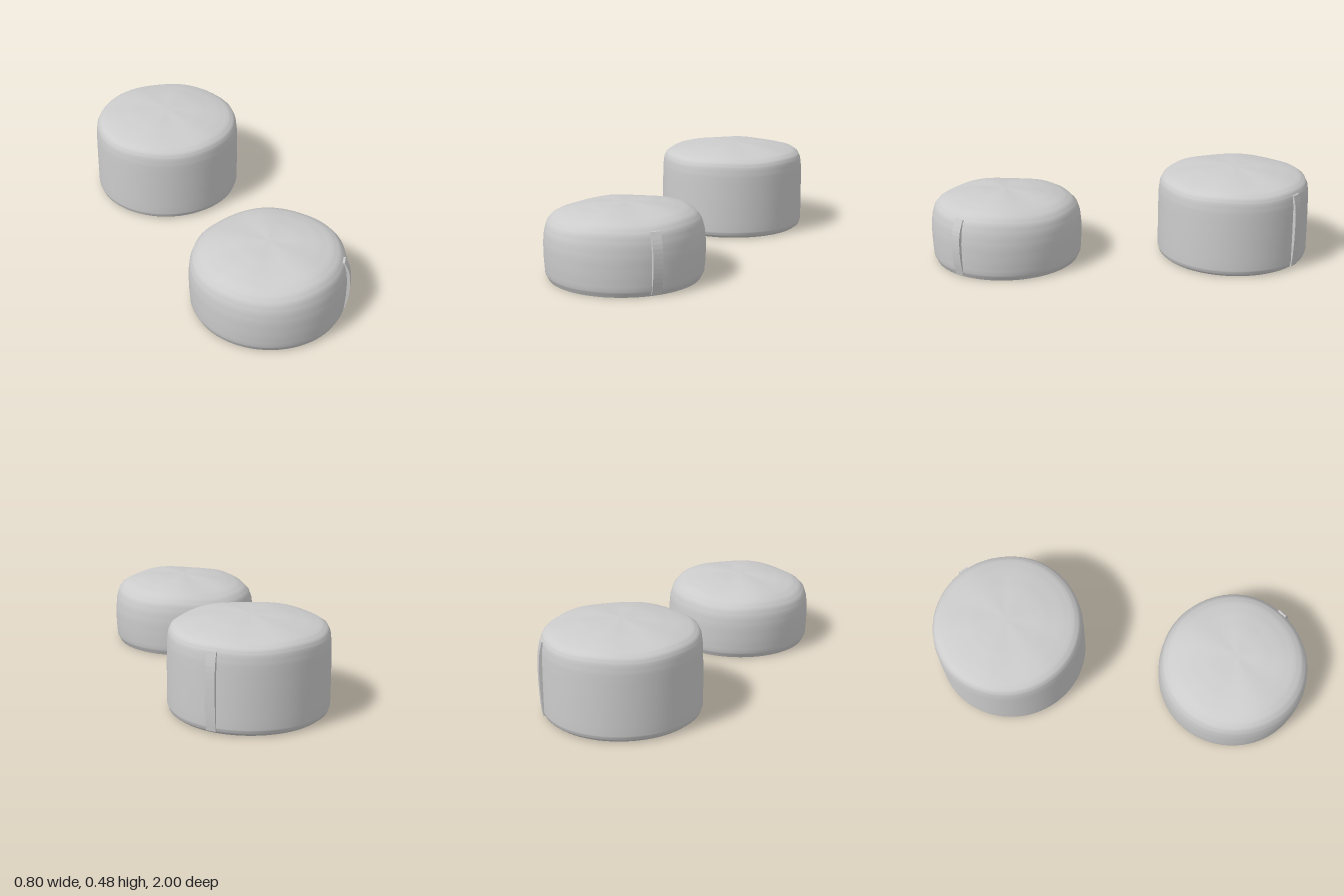
import * as THREE from 'three';
import { mergeVertices } from 'three/addons/utils/BufferGeometryUtils.js';

const grey = new THREE.MeshStandardMaterial({ color: 0xcccccc, side: THREE.DoubleSide });
const v2 = ([x, y]) => new THREE.Vector2(x, y);

function addMesh(group, name, geometry) {
  const mesh = new THREE.Mesh(geometry, grey);
  mesh.name = name;
  group.add(mesh);
  return mesh;
}

// Soft hollow cover: a lathed profile, gently rumpled by a rule
function coverGeometry(profile, rumple) {
  const points = [];
  profile.slice(1).forEach((p, i) => {
    const a = v2(profile[i]), b = v2(p);
    for (let k = 0; k < 3; k++) points.push(a.clone().lerp(b, k / 3));
  });
  points.push(v2(profile[profile.length - 1]));
  let geo = new THREE.LatheGeometry(points, 72);
  geo.deleteAttribute('uv');
  geo.deleteAttribute('normal');
  geo = mergeVertices(geo, 1e-4);
  const pos = geo.attributes.position;
  const p = new THREE.Vector3();
  for (let i = 0; i < pos.count; i++) {
    rumple(p.fromBufferAttribute(pos, i));
    pos.setXYZ(i, p.x, p.y, p.z);
  }
  geo.computeVertexNormals();
  return geo;
}

// Narrow strip following the side, given as an outer line of [radius, y]
function strapGeometry(line, width, thickness) {
  const outer = new THREE.SplineCurve(line.map(v2)).getPoints(14);
  const inner = outer.map((q) => new THREE.Vector2(q.x - thickness, q.y)).reverse();
  const geo = new THREE.ExtrudeGeometry(new THREE.Shape([...outer, ...inner]), {
    depth: width, bevelEnabled: false,
  });
  return geo.translate(0, 0, -width / 2);
}

function makePouf({ name, x, z, profile, rumple, strap, strapAngle }) {
  const pouf = new THREE.Group();
  pouf.name = name;
  pouf.position.set(x, 0, z);
  addMesh(pouf, 'cover', coverGeometry(profile, rumple));
  // Flat base ring, open in the middle
  const ring = addMesh(pouf, 'baseRing', new THREE.RingGeometry(0.275, profile[0][0], 72));
  ring.rotation.x = Math.PI / 2;
  ring.position.y = 0.004;
  const strip = addMesh(pouf, 'sideStrap', strapGeometry(strap, 0.05, 0.03));
  strip.rotation.y = strapAngle;
  return pouf;
}

export function createModel() {
  const model = new THREE.Group();
  model.name = 'poufs';

  // Low, slouchy pouf in front
  model.add(makePouf({
    name: 'lowPouf', x: -0.008, z: 0.604,
    profile: [[0.375, 0], [0.39, 0.03], [0.395, 0.1], [0.396, 0.18], [0.39, 0.24], [0.376, 0.285],
      [0.35, 0.315], [0.31, 0.336], [0.24, 0.354], [0.14, 0.368], [0, 0.372]],
    rumple: (p) => {
      const a = Math.atan2(p.z, p.x);
      const top = THREE.MathUtils.smoothstep(p.y, 0.2, 0.33);
      p.y += top * (0.012 * p.x / 0.4 + 0.006 * p.z / 0.4
        + 0.005 * Math.sin(5 * a + 1) * Math.hypot(p.x, p.z) / 0.4);
      const bulge = 1 + 0.006 * Math.sin(3 * a + 2) * Math.sin(Math.PI * Math.min(p.y / 0.35, 1));
      p.x *= bulge;
      p.z *= bulge;
    },
    strap: [[0.388, 0.01], [0.403, 0.08], [0.409, 0.16], [0.402, 0.24], [0.375, 0.305]],
    strapAngle: -0.65,
  }));

  // Taller, firmer pouf behind
  model.add(makePouf({
    name: 'tallPouf', x: 0.002, z: -0.6,
    profile: [[0.375, 0], [0.39, 0.012], [0.398, 0.035], [0.398, 0.2], [0.396, 0.34], [0.39, 0.39],
      [0.378, 0.415], [0.35, 0.434], [0.29, 0.45], [0.18, 0.468], [0, 0.477]],
    rumple: (p) => {
      const a = Math.atan2(p.z, p.x);
      const edge = THREE.MathUtils.smoothstep(p.y, 0.33, 0.41) * Math.hypot(p.x, p.z) / 0.4;
      p.y += 0.003 * edge * Math.sin(6 * a);
    },
    strap: [[0.4, 0.015], [0.407, 0.08], [0.412, 0.2], [0.41, 0.32], [0.395, 0.4]],
    strapAngle: 0.8,
  }));

  return model;
}
